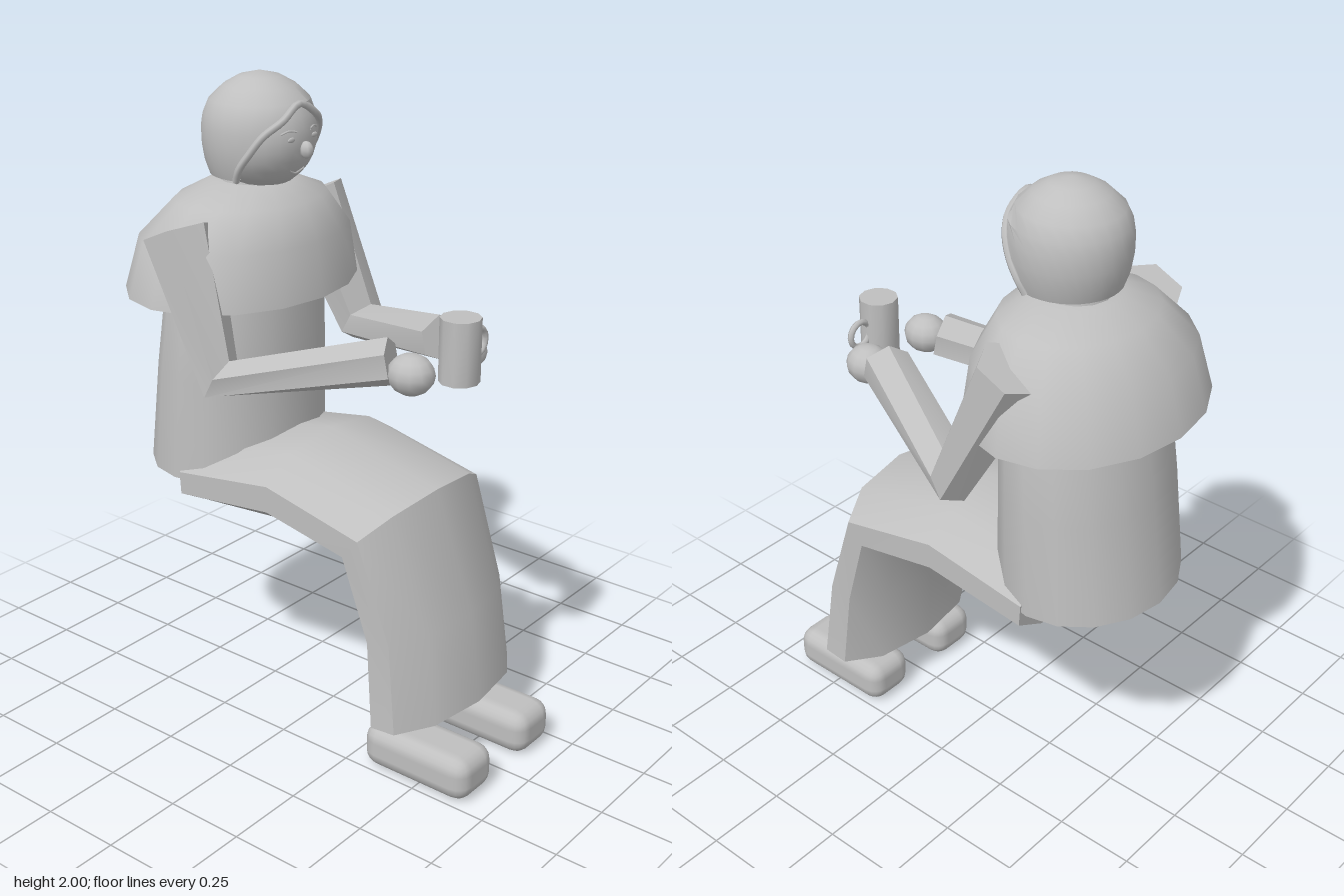
import * as THREE from 'three';
import { toCreasedNormals } from 'three/addons/utils/BufferGeometryUtils.js';
import { RoundedBoxGeometry } from 'three/addons/geometries/RoundedBoxGeometry.js';

const V = (x, y, z) => new THREE.Vector3(x, y, z);
const plaster = new THREE.MeshStandardMaterial({ color: 0xbfbfbf, side: THREE.DoubleSide });
plaster.name = 'grey plaster';

// Skin a list of rings; closed rings are capped at both ends
function loft(rings, crease, closed = true) {
  const pos = [], n = rings[0].length;
  const tri = (...pts) => pts.forEach(p => pos.push(p.x, p.y, p.z));
  for (let i = 0; i < rings.length - 1; i++) {
    for (let j = 0; j < (closed ? n : n - 1); j++) {
      const k = (j + 1) % n, a = rings[i][j], b = rings[i][k], c = rings[i + 1][k], d = rings[i + 1][j];
      if (a.distanceTo(b) > 1e-6) tri(a, b, d);
      if (c.distanceTo(d) > 1e-6) tri(b, c, d);
    }
  }
  if (closed) [rings[0], rings[rings.length - 1]].forEach((r, end) => {
    const mid = r.reduce((s, p) => s.add(p), V(0, 0, 0)).divideScalar(n);
    r.forEach((p, j) => end ? tri(mid, p, r[(j + 1) % n]) : tri(mid, r[(j + 1) % n], p));
  });
  const g = new THREE.BufferGeometry();
  g.setAttribute('position', new THREE.Float32BufferAttribute(pos, 3));
  return toCreasedNormals(g, crease);
}

// Horizontal ellipse: height, half width, half depth, centre z
function ellipse(y, w, d, cz, n = 16) {
  return Array.from({ length: n }, (_, i) => {
    const a = i / n * Math.PI * 2;
    return V(w * Math.sin(a), y, cz + d * Math.cos(a));
  });
}

export function createModel() {
  const model = new THREE.Group();
  model.name = 'seatedWoman';
  const add = (name, geo, x = 0, y = 0, z = 0, parent = model) => {
    const m = new THREE.Mesh(geo, plaster);
    m.name = name;
    m.position.set(x, y, z);
    parent.add(m);
    return m;
  };

  // Torso and shawl
  add('torso', loft([
    ellipse(0.78, 0.3, 0.255, -0.385), ellipse(1.1, 0.29, 0.235, -0.365),
    ellipse(1.36, 0.275, 0.215, -0.345), ellipse(1.58, 0.22, 0.18, -0.33),
  ], 0.7));
  add('shawl', loft([
    ellipse(1.355, 0.4, 0.315, -0.355), ellipse(1.52, 0.36, 0.283, -0.34),
    ellipse(1.63, 0.255, 0.207, -0.315), ellipse(1.68, 0.13, 0.12, -0.31),
  ], 0.75));

  // Skirt: outer z, outer y, inner z, inner y, half width of each section
  const section = [[1, 0.3], [0.64, 0.8], [0, 1], [-0.64, 0.8], [-1, 0.3],
    [-1, -0.3], [-0.64, -0.8], [0, -1], [0.64, -0.8], [1, -0.3]];
  add('skirt', loft([
    [-0.37, 0.885, -0.355, 0.65, 0.3], [-0.01, 0.95, -0.015, 0.675, 0.3],
    [0.39, 0.855, 0.21, 0.64, 0.3], [0.525, 0.49, 0.265, 0.44, 0.287], [0.565, 0.205, 0.285, 0.18, 0.3],
  ].map(([oz, oy, iz, iy, w]) => section.map(([u, v]) => {
    const t = (1 + v) / 2;
    return V(u * w, iy + (oy - iy) * t, iz + (oz - iz) * t);
  })), 0.65));

  // Arms, hands and feet
  const joints = [V(0.295, 1.572, -0.33), V(0.333, 1.17, -0.15), V(0.125, 1.272, 0.31)];
  const radii = [0.104, 0.072, 0.07];
  const dirs = [joints[1].clone().sub(joints[0]).normalize(), null, joints[2].clone().sub(joints[1]).normalize()];
  dirs[1] = dirs[0].clone().add(dirs[2]).normalize();
  const armRings = joints.map((c, i) => {
    const u = V(1, 0, 0).addScaledVector(dirs[i], -dirs[i].x).normalize();
    const v = dirs[i].clone().cross(u);
    return Array.from({ length: 6 }, (_, k) => {
      const a = (k + 0.5) / 6 * Math.PI * 2, r = radii[i];
      return c.clone().addScaledVector(u, r * 1.1 * Math.cos(a)).addScaledVector(v, r * Math.sin(a));
    });
  });
  const foot = new RoundedBoxGeometry(0.175, 0.14, 0.375, 2, 0.05);
  const hand = new THREE.SphereGeometry(0.065, 12, 8);
  for (const s of [1, -1]) {
    const side = s > 0 ? 'left' : 'right';
    const rings = s > 0 ? armRings : armRings.map(r => r.map(p => V(-p.x, p.y, p.z)).reverse());
    add(side + 'Arm', loft(rings, 0.5));
    add(side + 'Hand', hand, s * 0.128, 1.25, 0.38).scale.set(1, 0.93, 1.1);
    add(side + 'Foot', foot, s * 0.157, 0.07, 0.488);
  }

  // Mug
  const mug = new THREE.Group();
  mug.name = 'mug';
  model.add(mug);
  add('cup', toCreasedNormals(new THREE.CylinderGeometry(0.06, 0.06, 0.19, 10), 0.7), 0, 1.305, 0.455, mug);
  add('mugHandle', new THREE.TorusGeometry(0.04, 0.01, 6, 14), 0.085, 1.305, 0.455, mug);

  // Head and face
  const head = new THREE.Group();
  head.name = 'head';
  model.add(head);
  const C = V(0, 1.82, -0.27), R = 0.165;
  add('face', new THREE.SphereGeometry(R, 24, 16), C.x, C.y, C.z, head);
  add('neck', new THREE.CylinderGeometry(0.095, 0.12, 0.12, 14), 0, 1.67, -0.3, head);
  add('nose', new THREE.SphereGeometry(0.02, 8, 6), 0, 1.79, -0.1, head).scale.set(0.9, 1.3, 1.2);

  // Raised strokes that follow the face
  const onFace = (x, y) => V(x, y, C.z + Math.sqrt(R * R - x * x - (y - C.y) ** 2));
  const stroke = (name, pts, r) => add(name, new THREE.TubeGeometry(
    new THREE.CatmullRomCurve3(pts.map(p => onFace(...p))), 8, r, 5), 0, 0, 0, head);
  for (const s of [1, -1]) {
    stroke('eyebrow', [[s * 0.03, 1.845], [s * 0.055, 1.85], [s * 0.08, 1.842]], 0.003);
    const eye = onFace(s * 0.05, 1.824);
    add('eye', new THREE.SphereGeometry(0.017, 8, 6), eye.x, eye.y, eye.z, head).scale.set(1, 0.45, 0.25);
  }
  stroke('mouth', [[-0.032, 1.727], [0, 1.715], [0.032, 1.727]], 0.004);

  // Hood: height, radius and half angle of the face opening in degrees
  const rows = [[1.7, 0.11, 80], [1.702, 0.15, 78], [1.74, 0.163, 72], [1.79, 0.171, 60], [1.84, 0.172, 47],
    [1.88, 0.166, 27], [1.92, 0.148, 0], [1.96, 0.106, 0], [1.985, 0.062, 0], [2, 0, 0]];
  const hoodRings = rows.map(([y, r, deg]) => Array.from({ length: 21 }, (_, i) => {
    const a = THREE.MathUtils.degToRad(deg), f = a + (Math.PI - a) * i / 10;
    return V(r * Math.sin(f), y, -0.275 + r * 1.02 * Math.cos(f));
  }));
  add('hood', loft(hoodRings, 0.9, false), 0, 0, 0, head);
  const edge = hoodRings.slice(1, 7).map(r => r[0]);
  const rim = [...edge, ...edge.slice(0, -1).reverse().map(p => V(-p.x, p.y, p.z))];
  add('hoodRim', new THREE.TubeGeometry(new THREE.CatmullRomCurve3(rim), 32, 0.011, 6), 0, 0, 0, head);

  return model;
}
